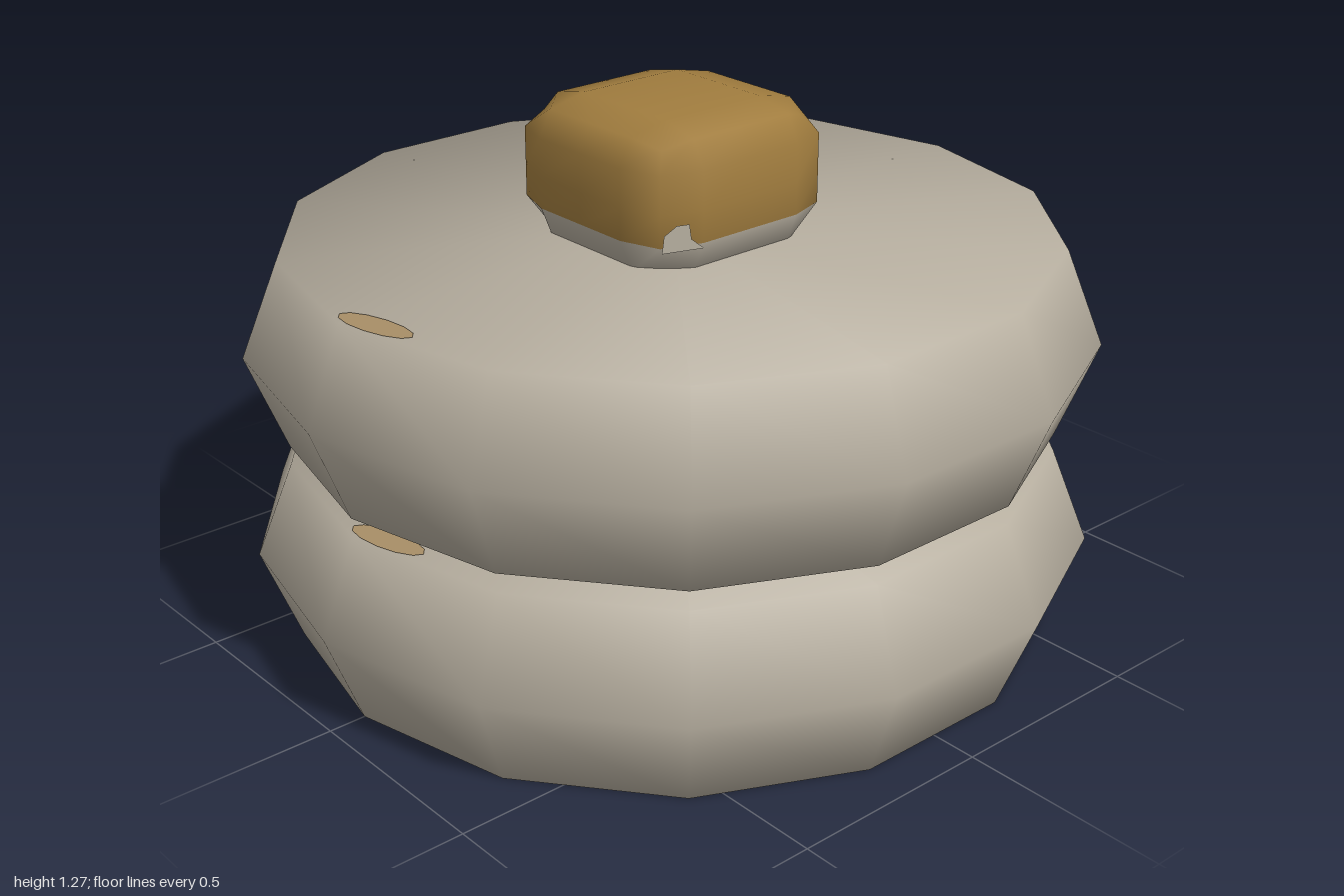
import * as THREE from 'three';
import { mergeVertices } from 'three/addons/utils/BufferGeometryUtils.js';

const mat = (name, color) => {
  const m = new THREE.MeshStandardMaterial({ color });
  m.name = name;
  return m;
};

// Fourteen-sided disc with a bulging rim and softly rounded shading
function discGeometry() {
  const profile = [[0, 0], [0.91, 0], [1, 0.23], [0.91, 0.455], [0, 0.455]];
  const g = new THREE.LatheGeometry(profile.map(([x, y]) => new THREE.Vector2(x, y)), 14, Math.PI / 2);
  const tilt = [-90, -50, 0, 50, 90].map(THREE.MathUtils.degToRad);
  const p = g.attributes.position;
  for (let i = 0; i < p.count; i++) {
    const phi = Math.PI / 2 + Math.floor(i / 5) * Math.PI * 2 / 14;
    const t = tilt[i % 5];
    g.attributes.normal.setXYZ(i, Math.cos(t) * Math.sin(phi), Math.sin(t), Math.cos(t) * Math.cos(phi));
  }
  return g;
}

// Soft cube: edges and corners of a 4x4x4 box are drawn inwards; the lowest band is a second group
function cubeGeometry() {
  let g = new THREE.BoxGeometry(2, 2, 2, 4, 4, 4);
  const p = g.attributes.position;
  const half = [0.27, 0.175, 0.27];
  for (let i = 0; i < p.count; i++) {
    const v = [p.getX(i), p.getY(i), p.getZ(i)];
    const outer = v.filter((c) => Math.abs(c) > 0.99).length;
    const w = v.map((c, k) => half[k] * c * (Math.abs(c) > 0.99 ? 1 - 0.12 * (outer - 1) : 1.04));
    if (Math.abs(v[1] + 0.5) < 0.01) w[1] = -0.075;
    p.setXYZ(i, ...w);
  }
  g.deleteAttribute('uv');
  g.deleteAttribute('normal');
  g.clearGroups();
  g = mergeVertices(g);
  g.computeVertexNormals();
  const upper = [], lower = [];
  const index = g.index.array;
  for (let i = 0; i < index.length; i += 3) {
    const tri = [index[i], index[i + 1], index[i + 2]];
    const y = tri.reduce((s, k) => s + g.attributes.position.getY(k), 0) / 3;
    (y < -0.076 ? lower : upper).push(...tri);
  }
  g.setIndex([...upper, ...lower]);
  g.addGroup(0, upper.length, 0);
  g.addGroup(upper.length, lower.length, 1);
  return g;
}

export function createModel() {
  const model = new THREE.Group();
  const stone = mat('warmGrey', 0xb6ae9f);
  const butter = mat('goldenBrown', 0xa07c3e);
  const stain = mat('paleTan', 0xa88e66);
  const add = (name, geometry, material, x, y, z) => {
    const mesh = new THREE.Mesh(geometry, material);
    mesh.name = name;
    mesh.position.set(x, y, z);
    model.add(mesh);
    return mesh;
  };

  // Two stacked discs, each with a small tan spot near the rim
  const disc = discGeometry();
  const spot = new THREE.CircleGeometry(1, 12).scale(0.035, 0.105, 1).rotateZ(0.2).rotateX(-Math.PI / 2);
  [['lower', 0], ['upper', 0.5]].forEach(([level, y]) => {
    add(level + 'Disc', disc, stone, 0, y, 0);
    add(level + 'Spot', spot, stain, -0.862, y + 0.458, 0.065);
  });

  // Soft cube on top with a grey foot
  add('topCube', cubeGeometry(), [butter, stone], 0, 1.095, 0);

  // Small grey smear rising from the foot on the front
  const smear = new THREE.Shape([[-0.05, -0.01], [0.05, -0.01], [0.02, 0.015], [0.015, 0.05], [-0.015, 0.05], [-0.045, 0.03]]
    .map(([x, y]) => new THREE.Vector2(x, y)));
  add('footSmear', new THREE.ShapeGeometry(smear), stone, -0.19, 1.02, 0.259).rotation.y = -0.31;

  return model;
}
